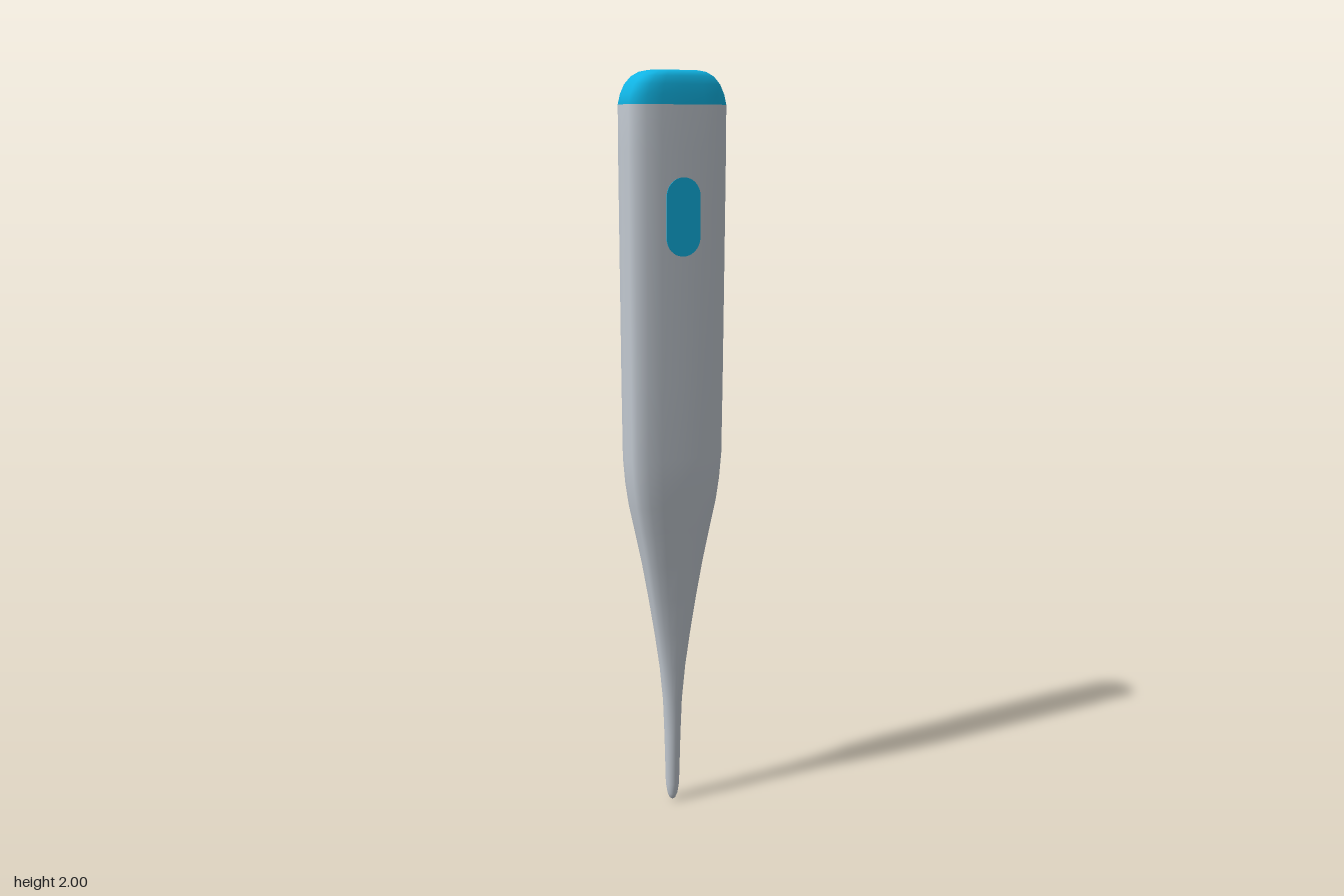
import * as THREE from 'three';

// Quarter outline of the flat handle: fractions of half width and half depth
const QUARTER = [[1, 0], [0.96, 0.5], [0.89, 0.76], [0.7, 0.94], [0.42, 1], [0, 1]];

// Height, half width, half depth, roundness (0 = flat handle, 1 = circular probe)
const ROWS = [
  [0.006, 0.008, 0.008, 1], [0.02, 0.014, 0.014, 1], [0.05, 0.019, 0.018, 1],
  [0.2, 0.023, 0.021, 1], [0.3, 0.027, 0.022, 0.9], [0.4, 0.037, 0.024, 0.7],
  [0.5, 0.052, 0.027, 0.5], [0.6, 0.069, 0.031, 0.35], [0.7, 0.087, 0.038, 0.2],
  [0.8, 0.108, 0.047, 0.1], [0.87, 0.123, 0.053, 0], [0.93, 0.132, 0.057, 0],
  [1.0, 0.138, 0.06, 0], [1.2, 0.14, 0.062, 0], [1.5, 0.142, 0.064, 0],
  [1.8, 0.144, 0.065, 0], [1.915, 0.144, 0.065, 0],
  [1.94, 0.138, 0.064, 0], [1.965, 0.126, 0.063, 0], [1.985, 0.107, 0.059, 0],
  [1.996, 0.086, 0.051, 0], [2.0, 0.066, 0.038, 0],
];
const SEAM = 16; // row where the handle meets the end cap

// Full ring of points, from +x towards +z
function ring([y, w, d, round]) {
  const n = QUARTER.length - 1;
  const quarter = QUARTER.map(([x, z], i) => {
    const a = (i / n) * Math.PI / 2;
    return [
      w * THREE.MathUtils.lerp(x, Math.cos(a), round),
      d * THREE.MathUtils.lerp(z, Math.sin(a), round),
    ];
  });
  const points = [];
  for (let i = 0; i < n * 4; i++) {
    const q = Math.floor(i / n), k = i % n;
    const [x, z] = quarter[q % 2 ? n - k : k];
    points.push(new THREE.Vector3(q === 1 || q === 2 ? -x : x, y, q < 2 ? z : -z));
  }
  return points;
}

// One smooth skin through all rows; group 0 is the handle, group 1 the end cap
function shellGeometry() {
  const rings = ROWS.map(ring);
  const count = rings[0].length;
  const points = rings.flat();
  const bottom = points.push(new THREE.Vector3(0, 0, 0)) - 1;
  const top = points.push(new THREE.Vector3(0, 2, 0)) - 1;
  const index = [];
  let split = 0;
  for (let i = 0; i < count; i++) index.push(bottom, i, (i + 1) % count);
  for (let r = 0; r < rings.length - 1; r++) {
    if (r === SEAM) split = index.length;
    for (let i = 0; i < count; i++) {
      const a = r * count + i, b = r * count + (i + 1) % count;
      index.push(a, a + count, b, b, a + count, b + count);
    }
  }
  const last = (rings.length - 1) * count;
  for (let i = 0; i < count; i++) index.push(top, last + (i + 1) % count, last + i);

  const geometry = new THREE.BufferGeometry().setFromPoints(points);
  geometry.setIndex(index);
  geometry.computeVertexNormals();
  geometry.addGroup(0, split, 0);
  geometry.addGroup(split, index.length - split, 1);
  return geometry;
}

export function createModel() {
  const grey = new THREE.MeshStandardMaterial({ color: 0xc2c9d1 });
  grey.name = 'pale grey plastic';
  const blue = new THREE.MeshStandardMaterial({ color: 0x10b3e3 });
  blue.name = 'bright blue plastic';

  const model = new THREE.Group();
  model.name = 'thermometer';

  // Handle, tapering probe and rounded end cap
  const shell = new THREE.Mesh(shellGeometry(), [grey, blue]);
  shell.name = 'bodyAndCap';
  model.add(shell);

  // Pill-shaped button on the front
  const r = 0.048, h = 0.052;
  const pill = new THREE.Shape();
  pill.absarc(0, h, r, 0, Math.PI);
  pill.absarc(0, -h, r, Math.PI, Math.PI * 2);
  pill.closePath();
  const button = new THREE.Mesh(
    new THREE.ExtrudeGeometry(pill, { depth: 0.005, bevelEnabled: false, curveSegments: 12 }), blue);
  button.name = 'button';
  button.position.set(0, 1.635, 0.0615);
  model.add(button);

  return model;
}
